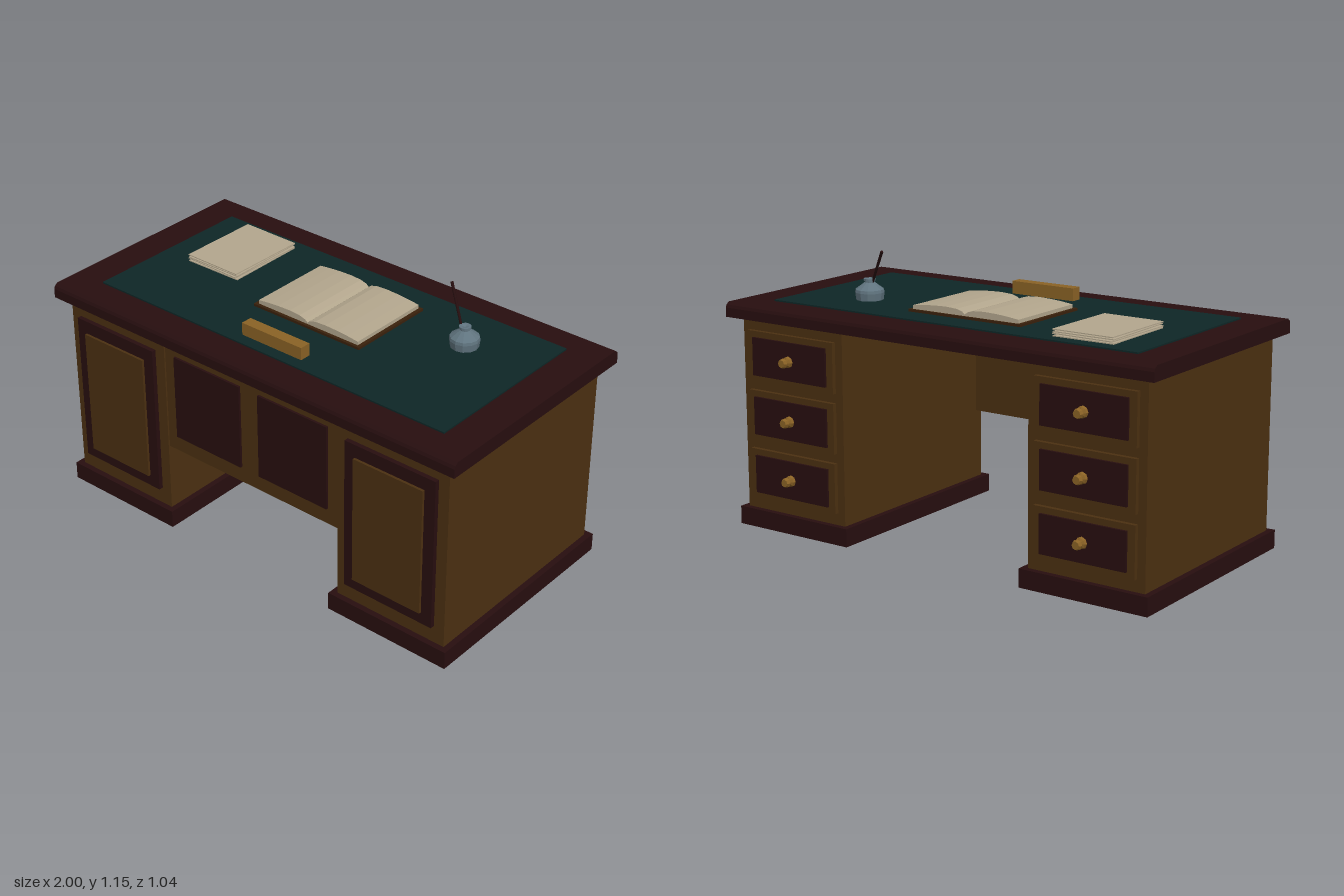
import * as THREE from 'three';

const mat = (name, color, extra = {}) => Object.assign(new THREE.MeshStandardMaterial({ color, ...extra }), { name });

export function createModel() {
  const oak = mat('oak', 0x4b3011);
  const mahogany = mat('mahogany', 0x270e0f);
  const leather = mat('greenLeather', 0x0e2626);
  const paper = mat('paper', 0xb3a68d);
  const brass = mat('brass', 0x8a6225);
  const pewter = mat('pewter', 0x60747f);
  const binding = mat('bookBinding', 0x3a210c);

  const desk = new THREE.Group();
  desk.name = 'desk';

  const add = (parent, name, geometry, material) => {
    const mesh = new THREE.Mesh(geometry, material);
    mesh.name = name;
    parent.add(mesh);
    return mesh;
  };
  // Box given by its minimum and maximum on each axis
  const box = (parent, name, material, [x0, x1], [y0, y1], [z0, z1]) => {
    const mesh = add(parent, name, new THREE.BoxGeometry(x1 - x0, y1 - y0, z1 - z0), material);
    mesh.position.set((x0 + x1) / 2, (y0 + y1) / 2, (z0 + z1) / 2);
    return mesh;
  };
  const shape = (points) => new THREE.Shape(points.map(([x, y]) => new THREE.Vector2(x, y)));
  // Turned part around the y axis, faceted
  const turned = (points, sides) => {
    const g = new THREE.LatheGeometry(points.map(([r, y]) => new THREE.Vector2(r, y)), sides).toNonIndexed();
    g.computeVertexNormals();
    return g;
  };

  // Desk top: moulded front and back edges, square ends
  const topGeometry = new THREE.ExtrudeGeometry(shape([
    [-0.52, 0.87], [0.5, 0.87], [0.5, 0.908], [0.495, 0.92], [0.482, 0.93],
    [-0.502, 0.93], [-0.515, 0.92], [-0.52, 0.908],
  ]), { depth: 2, bevelEnabled: false });
  topGeometry.rotateY(Math.PI / 2).translate(-1, 0, 0);
  add(desk, 'deskTop', topGeometry, mahogany);
  box(desk, 'writingSurface', leather, [-0.855, 0.855], [0.928, 0.936], [-0.37, 0.39]);

  // Pedestals, each with a panelled front and three drawers at the back
  const knobGeometry = turned([
    [0, 0], [0.024, 0], [0.021, 0.01], [0.01, 0.017], [0.021, 0.028], [0.016, 0.042], [0, 0.042],
  ], 8);
  for (const side of [-1, 1]) {
    const pedestal = new THREE.Group();
    pedestal.name = side > 0 ? 'leftPedestal' : 'rightPedestal';
    pedestal.position.x = side * 0.695;
    desk.add(pedestal);
    box(pedestal, 'plinth', mahogany, [-0.28, 0.28], [0, 0.075], [-0.475, 0.5]);
    box(pedestal, 'cabinet', oak, [-0.255, 0.255], [0.075, 0.87], [-0.45, 0.475]);
    box(pedestal, 'frontFrame', mahogany, [-0.208, 0.208], [0.15, 0.8], [0.47, 0.494]);
    box(pedestal, 'frontPanel', oak, [-0.16, 0.16], [0.2, 0.745], [0.49, 0.505]);
    for (let i = 0; i < 3; i++) {
      const y = 0.228 + i * 0.245;
      box(pedestal, 'drawerFront', oak, [-0.22, 0.22], [y - 0.103, y + 0.103], [-0.468, -0.445]);
      box(pedestal, 'drawerPanel', mahogany, [-0.188, 0.188], [y - 0.078, y + 0.078], [-0.478, -0.46]);
      const knob = add(pedestal, 'drawerKnob', knobGeometry, brass);
      knob.rotation.x = -Math.PI / 2;
      knob.position.set(0, y, -0.478);
    }
  }

  // Modesty panel across the kneehole
  box(desk, 'modestyPanel', oak, [-0.44, 0.44], [0.37, 0.87], [0.44, 0.468]);
  for (const side of [-1, 1]) {
    const panel = box(desk, 'modestyInset', mahogany, [-0.17, 0.17], [0.44, 0.805], [0.46, 0.478]);
    panel.position.x = side * 0.217;
  }

  // Open book
  const book = new THREE.Group();
  book.name = 'openBook';
  desk.add(book);
  box(book, 'bookCover', binding, [-0.265, 0.265], [0.936, 0.946], [-0.25, 0.145]);
  const half = [[0.25, 0.961], [0.2, 0.967], [0.15, 0.971], [0.09, 0.973], [0.04, 0.97], [0.012, 0.962]];
  const pagesGeometry = new THREE.ExtrudeGeometry(shape([
    [-0.25, 0.945], [0.25, 0.945], ...half, [0, 0.952],
    ...half.slice().reverse().map(([x, y]) => [-x, y]),
  ]), { depth: 0.372, bevelEnabled: false });
  add(book, 'bookPages', pagesGeometry.translate(0, 0, -0.24), paper);

  // Loose sheets, each turned a little
  [0.012, -0.02, 0.016, -0.008].forEach((turn, i) => {
    const sheet = add(desk, 'paperSheet', new THREE.BoxGeometry(0.262, 0.004, 0.355), paper);
    sheet.position.set(-0.586, 0.939 + i * 0.008, -0.14);
    sheet.rotation.y = turn;
  });

  // Brass desk plate block
  box(desk, 'brassBlock', brass, [-0.148, 0.148], [0.936, 0.988], [0.292, 0.34]);

  // Inkwell and pen
  const inkwell = add(desk, 'inkwell', turned([
    [0, 0], [0.056, 0], [0.06, 0.03], [0.058, 0.042], [0.02, 0.07], [0.02, 0.075],
    [0.024, 0.076], [0.024, 0.085], [0.014, 0.085], [0, 0.08],
  ], 12), pewter);
  inkwell.position.set(0.547, 0.936, -0.14);

  const penStart = new THREE.Vector3(0.54, 0.995, -0.135);
  const penEnd = new THREE.Vector3(0.437, 1.148, -0.196);
  const along = penEnd.clone().sub(penStart);
  const pen = add(desk, 'pen', new THREE.CylinderGeometry(0.006, 0.005, along.length(), 6), mahogany);
  pen.position.copy(penStart).add(penEnd).multiplyScalar(0.5);
  pen.quaternion.setFromUnitVectors(new THREE.Vector3(0, 1, 0), along.normalize());

  return desk;
}
